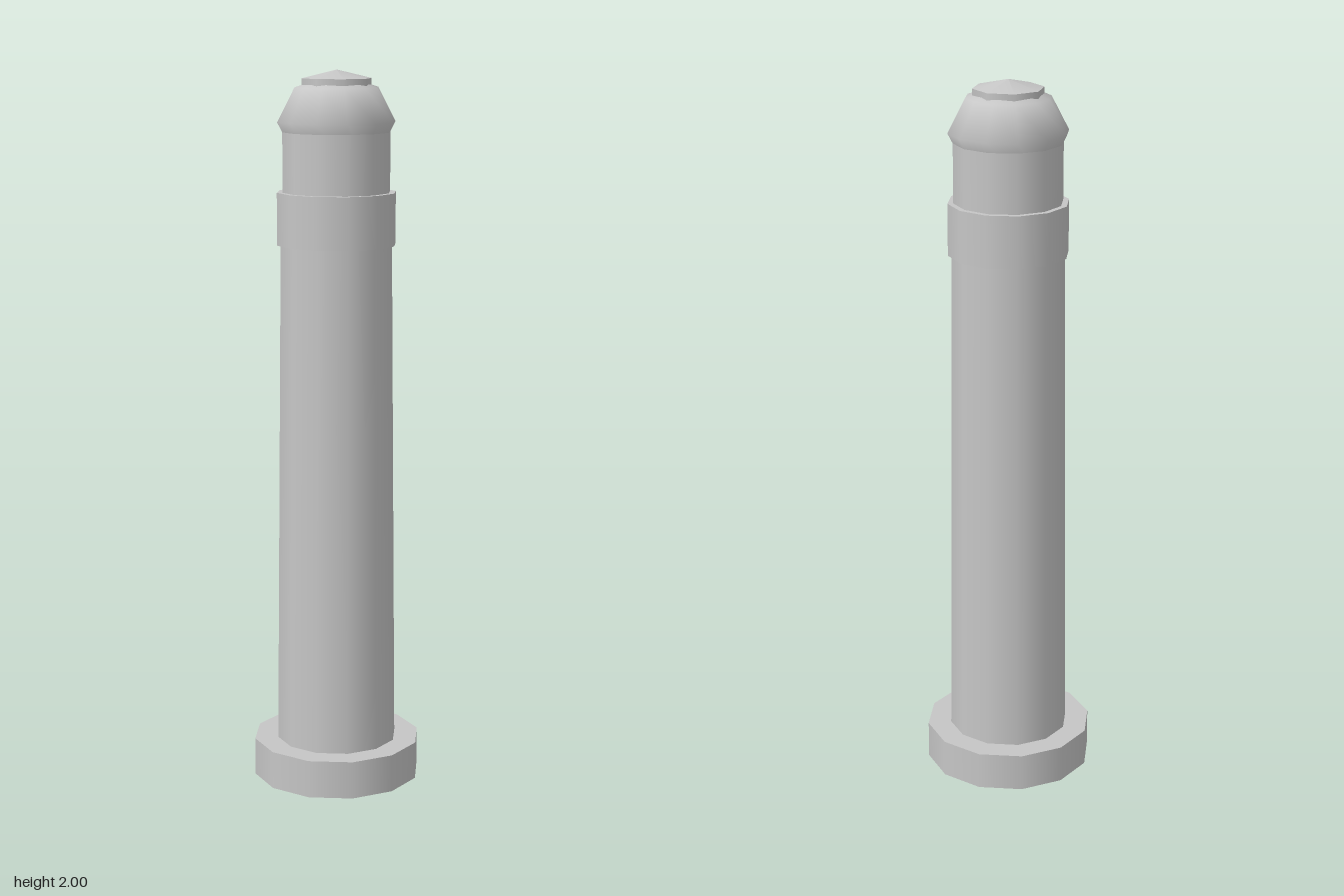
import * as THREE from 'three';

export function createModel() {
  const model = new THREE.Group();
  const grey = new THREE.MeshStandardMaterial({ color: 0xc6c6c6 });
  grey.name = 'plain grey';

  const add = (name, geometry, y) => {
    const mesh = new THREE.Mesh(geometry, grey);
    mesh.name = name;
    mesh.position.y = y;
    model.add(mesh);
    return mesh;
  };
  // Upright round part between two heights
  const drum = (name, rTop, rBottom, y0, y1, sides = 12) =>
    add(name, new THREE.CylinderGeometry(rTop, rBottom, y1 - y0, sides), (y0 + y1) / 2);

  drum('base', 0.238, 0.238, 0, 0.107);
  drum('column', 0.156, 0.171, 0.107, 1.53);
  drum('collar', 0.166, 0.166, 1.526, 1.67);
  drum('neck', 0.15, 0.15, 1.67, 1.86);

  // Flattened ball whose lower half sinks into the neck
  add('dome', new THREE.SphereGeometry(0.164, 12, 4).scale(1, 0.8, 1), 1.86);

  // Eight-sided cap with a shallow pointed lid
  const rim = new THREE.CylinderGeometry(0.097, 0.097, 0.037, 8, 1, true);
  add('capRim', rim, 1.9585);
  add('capLid', new THREE.ConeGeometry(0.097, 0.023, 8, 1, true), 1.9885);

  return model;
}
